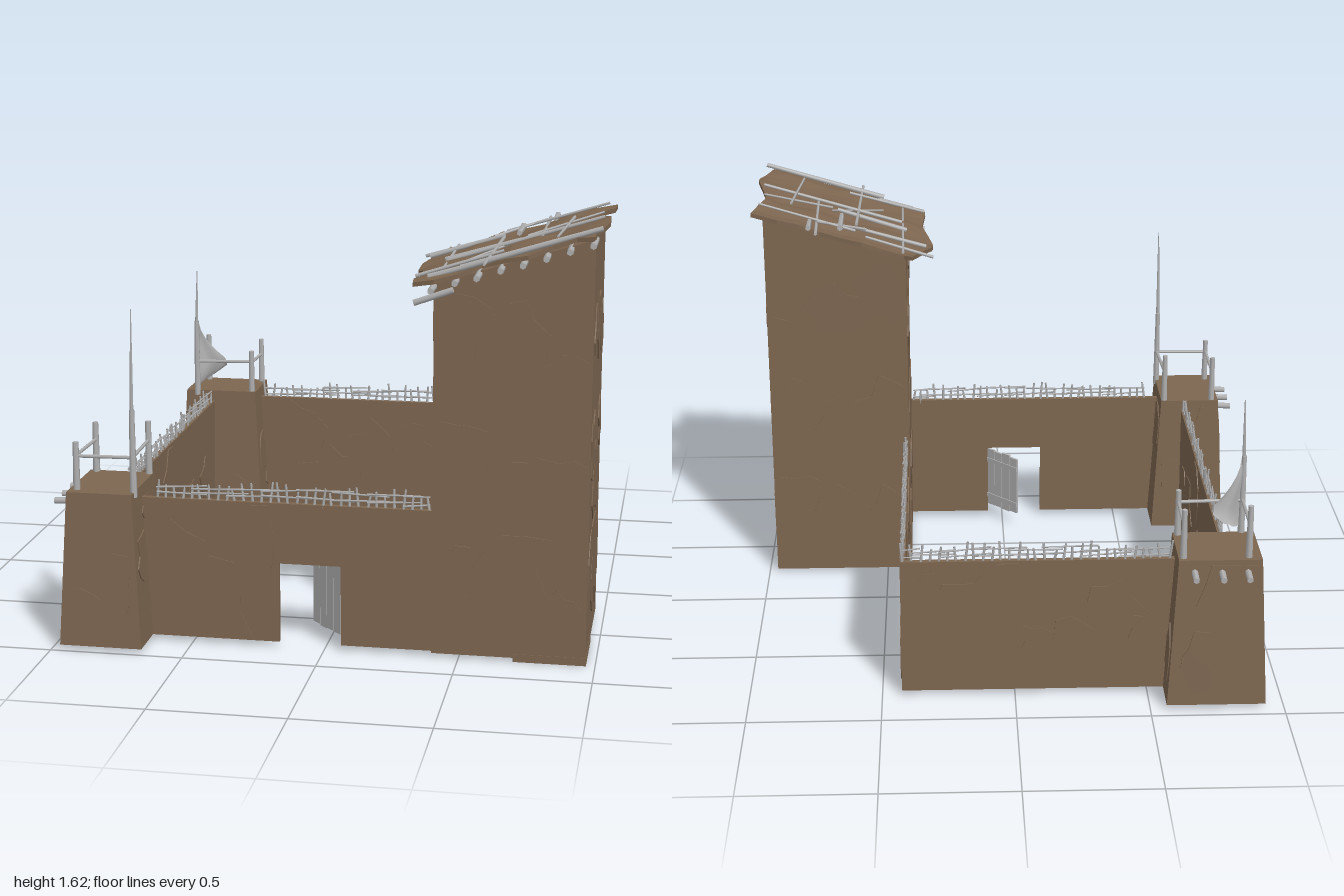
import * as THREE from 'three';
import { mergeGeometries } from 'three/addons/utils/BufferGeometryUtils.js';

export function createModel() {
  const fort = new THREE.Group();
  const clay = new THREE.MeshStandardMaterial({ name: 'clay brown', color: 0x7d6650 });
  const wood = new THREE.MeshStandardMaterial({ name: 'weathered grey', color: 0xb2b2b2 });
  const cloth = new THREE.MeshStandardMaterial({ name: 'cloth grey', color: 0xb0b0b0, side: THREE.DoubleSide });

  let seed = 7;
  const rnd = (a = 0, b = 1) => {
    seed = (seed * 16807) % 2147483647;
    return a + (b - a) * (seed / 2147483647);
  };
  const add = (name, geo, mat) => {
    const m = new THREE.Mesh(geo, mat);
    m.name = name;
    fort.add(m);
    return m;
  };
  const V = (x, y, z) => new THREE.Vector3(x, y, z);

  // Tapered pole between two points
  const pole = (a, b, r0, r1 = r0, sides = 5) => {
    const d = b.clone().sub(a);
    const g = new THREE.CylinderGeometry(r1, r0, d.length(), sides);
    g.applyQuaternion(new THREE.Quaternion().setFromUnitVectors(V(0, 1, 0), d.normalize()));
    return g.translate((a.x + b.x) / 2, (a.y + b.y) / 2, (a.z + b.z) / 2);
  };
  const box = (x0, x1, y0, y1, z0, z1) => new THREE.BoxGeometry(x1 - x0, y1 - y0, z1 - z0)
    .translate((x0 + x1) / 2, (y0 + y1) / 2, (z0 + z1) / 2);

  // Raised, ragged plaster patches on a wall face (u runs along the wall, angle is the facing)
  const plaster = (name, cx, cz, angle, w, y0, y1, count, tilt = 0) => {
    const geos = [];
    for (let i = 0; i < count; i++) {
      const R = rnd(0.07, 0.15), u = (i + 0.5) / count * w - w / 2, v = rnd(y0 + 0.1, y1 - 0.1) - y0;
      const pts = [];
      for (let k = 0; k < 11; k++) {
        const t = k / 11 * Math.PI * 2, r = R * rnd(0.55, 1.25);
        pts.push(new THREE.Vector2(
          THREE.MathUtils.clamp(u + Math.cos(t) * r, -w / 2 + 0.005, w / 2 - 0.005),
          THREE.MathUtils.clamp(v + Math.sin(t) * r * 1.2, 0.01, y1 - y0 - 0.01)));
      }
      geos.push(new THREE.ExtrudeGeometry(new THREE.Shape(pts), { depth: rnd(0.004, 0.006), bevelEnabled: false })
        .translate(0, 0, -0.001));
    }
    add(name, mergeGeometries(geos).rotateX(-tilt).rotateY(angle).translate(cx, y0, cz), clay);
  };

  // Curtain walls
  const T = 0.011, top = 0.555, base = 0.02, H = Math.PI / 2;
  add('backWall', box(-0.7, 0.425, base, top, -0.805 - T, -0.805 + T), clay);
  add('rightWall', box(0.415 - T, 0.415 + T, base, top, -0.81, 0.3), clay);
  add('leftWall', box(-0.785 - T, -0.785 + T, base, top, -0.75, 0.75), clay);
  const front = new THREE.Shape([[-0.75, base], [-0.17, base], [-0.17, 0.325], [0.062, 0.325], [0.062, base],
    [0.45, base], [0.45, top], [-0.75, top]].map(p => new THREE.Vector2(...p)));
  add('frontWall', new THREE.ExtrudeGeometry(front, { depth: 2 * T, bevelEnabled: false }).translate(0, 0, 0.815 - T), clay);
  plaster('backPlaster', -0.08, -0.805 - T, Math.PI, 0.95, base, top, 7);
  plaster('backInnerPlaster', -0.08, -0.805 + T, 0, 0.9, base, top, 5);
  plaster('rightPlaster', 0.415 + T, -0.28, H, 1.04, base, top, 7);
  plaster('rightInnerPlaster', 0.415 - T, -0.28, -H, 1, base, top, 5);
  plaster('leftPlaster', -0.785 - T, 0, -H, 1.2, base, top, 8);
  plaster('leftInnerPlaster', -0.785 + T, 0, H, 1.2, base, top, 6);
  plaster('frontPlaster', -0.41, 0.815 + T, 0, 0.45, base, top, 3);

  // Open plank door, swung inward from its hinge
  const door = new THREE.Group();
  door.name = 'door';
  for (let i = 0; i < 4; i++) {
    const m = new THREE.Mesh(box(-0.045 * (i + 1) + 0.002, -0.045 * i, 0.05 + rnd(0, 0.012), 0.325 - rnd(0, 0.012), -0.005, 0.005), wood);
    m.name = 'doorPlank';
    door.add(m);
  }
  [0.1, 0.27].forEach(y => {
    const m = new THREE.Mesh(box(-0.178, -0.002, y - 0.01, y + 0.01, -0.009, -0.004), wood);
    m.name = 'doorBrace';
    door.add(m);
  });
  door.position.set(0.062, 0, 0.81);
  door.rotation.y = -Math.PI / 4;
  fort.add(door);

  // Brushwood fence along the wall tops
  const fence = (name, a, b) => {
    const d = b.clone().sub(a), len = d.length(), n = Math.round(len / 0.033), geos = [];
    const at = (t, y, s = 0) => V(a.x + d.x * t + s * d.z / len, y, a.z + d.z * t + s * d.x / len);
    for (let i = 0; i <= n; i++) {
      const t = i / n, lean = rnd(-0.012, 0.012) / len;
      geos.push(pole(at(t, 0.54, rnd(-0.006, 0.006)), at(t + lean, rnd(0.595, 0.632), rnd(-0.008, 0.008)), 0.0055, 0.004, 4));
    }
    for (let i = 0; i < n / 4; i++) {
      const t = Math.min(i * 4 / n, 1), e = Math.min(t + rnd(5, 7) / n, 1);
      for (const y of [0.575, 0.6]) if (e > t)
        geos.push(pole(at(t, y + rnd(-0.009, 0.009), 0.007), at(e, y + rnd(-0.009, 0.009), -0.007), 0.004, 0.003, 4));
    }
    add(name, mergeGeometries(geos), wood);
  };
  fence('frontFence', V(-0.63, 0, 0.815), V(0.39, 0, 0.815));
  fence('backFence', V(-0.57, 0, -0.805), V(0.415, 0, -0.805));
  fence('leftFence', V(-0.785, 0, -0.64), V(-0.785, 0, 0.63));
  fence('rightFence', V(0.415, 0, -0.8), V(0.415, 0, 0.24));

  // Small tapered corner towers
  const cornerTower = (name, cx, cz, hx, hz) => {
    const g = new THREE.BoxGeometry(2, 0.58, 2), p = g.attributes.position;
    for (let i = 0; i < p.count; i++) {
      const inset = p.getY(i) > 0 ? 0.032 : 0;
      p.setX(i, p.getX(i) * (hx - inset));
      p.setZ(i, p.getZ(i) * (hz - inset));
    }
    g.computeVertexNormals();
    add(name, g.translate(cx, 0.31, cz), clay);
    for (let k = 0; k < 4; k++) {
      const [h, w] = k % 2 ? [hx, hz] : [hz, hx];
      plaster(name + 'Plaster', cx + Math.sin(k * H) * h, cz + Math.cos(k * H) * h, k * H, 2 * w - 0.07, base, 0.59, 2, 0.055);
    }
  };
  cornerTower('frontCornerTower', -0.81, 0.805, 0.155, 0.187);
  cornerTower('backCornerTower', -0.745, -0.805, 0.185, 0.153);

  // Posts, rails and tall spikes on the corner towers; the fourth corner carries the spike
  const railing = (name, corners, tip) => {
    const geos = [], P = corners.map(c => V(c[0], 0.58, c[1]));
    P.forEach((p, i) => {
      const spike = i === 3, q = P[(i + 1) % 4];
      geos.push(pole(p, V(p.x, spike ? 0.91 : 0.78 + 0.012 * i, p.z), 0.014, spike ? 0.01 : 0.011, 6));
      if (i !== 1) geos.push(pole(V(p.x, 0.73, p.z), V(q.x, 0.73 + rnd(-0.006, 0.006), q.z), 0.007));
    });
    geos.push(pole(V(P[3].x, 0.88, P[3].z), V(P[3].x + 0.006, tip, P[3].z), 0.008, 0.002, 5));
    add(name, mergeGeometries(geos), wood);
  };
  railing('frontTowerRailing', [[-0.905, 0.915], [-0.905, 0.665], [-0.7, 0.665], [-0.69, 0.915]], 1.28);
  railing('backTowerRailing', [[-0.61, -0.7], [-0.61, -0.9], [-0.85, -0.9], [-0.85, -0.685]], 1.13);

  // Torn cloth hanging from the back spike
  const sheet = new THREE.PlaneGeometry(1, 1, 5, 7), sp = sheet.attributes.position;
  for (let i = 0; i < sp.count; i++) {
    const u = sp.getX(i) + 0.5, v = 0.5 - sp.getY(i);
    const w = 0.015 + 0.125 * Math.pow(Math.min(v * 1.25, 1), 1.8) - (v > 0.8 ? (v - 0.8) * 0.3 : 0);
    sp.setXYZ(i, -0.855 + u * w, 0.9 - v * 0.28 + u * v * 0.05, -0.685 - u * v * 0.085 + Math.sin(u * 9) * 0.012 * v);
  }
  sheet.computeVertexNormals();
  add('tornCloth', sheet, cloth);

  // Beam ends poking out of the corner towers
  const ends = [];
  [0.71, 0.81, 0.905].forEach(z => ends.push(pole(V(-0.9, 0.555, z), V(-0.995, 0.55, z), 0.013, 0.012, 6)));
  [-0.845, -0.75, -0.65].forEach(x => ends.push(pole(V(x, 0.555, -0.9), V(x, 0.55, -0.993), 0.013, 0.012, 6)));
  add('beamEnds', mergeGeometries(ends), wood);

  // Tall tower with sloping top
  const roofY = x => 1.275 + 0.305 * x;
  const tall = box(0.4, 0.965, 0.015, 1.4, 0.25, 0.835), tp = tall.attributes.position;
  for (let i = 0; i < tp.count; i++) if (tp.getY(i) > 1) tp.setY(i, roofY(tp.getX(i)) - 0.005);
  tall.computeVertexNormals();
  add('tallTower', tall, clay);
  add('tallTowerFoot', box(0.7, 0.967, 0, 0.03, 0.57, 0.837), clay);
  for (let k = 0; k < 4; k++) for (let s = 0; s < 3; s++)
    plaster('tallTowerPlaster', 0.6825 + Math.sin(k * H) * 0.2825, 0.5425 + Math.cos(k * H) * 0.2925, k * H, 0.55,
      0.05 + s * 0.44, 0.49 + s * 0.44, 3);

  // Warped ragged roof
  const roof = new THREE.BoxGeometry(0.66, 0.016, 0.7, 8, 1, 10), rp = roof.attributes.position;
  for (let i = 0; i < rp.count; i++) {
    const x = rp.getX(i), z = rp.getZ(i), ex = Math.abs(x) > 0.32 ? 1 : 0, ez = Math.abs(z) > 0.34 ? 1 : 0;
    const X = 0.655 + x + ex * (0.022 * Math.sin(z * 14) - (x < 0 ? 0.03 * Math.cos(z * 6) - 0.012 : 0));
    const Z = 0.535 + z + ez * 0.014 * Math.sin(x * 21);
    rp.setXYZ(i, X, roofY(X) + 0.012 + rp.getY(i) + 0.007 * Math.sin(x * 23 + z * 8) + 0.006 * Math.sin(z * 27), Z);
  }
  const flat = roof.toNonIndexed();
  flat.computeVertexNormals();
  add('roof', flat, clay);

  // Poles lying over the roof: x0, z0, x1, z1, radius
  const over = [[0.29, 0.25, 0.56, 0.265, 0.007], [0.32, 0.345, 0.6, 0.33, 0.009], [0.56, 0.33, 0.75, 0.25, 0.006],
    [0.4, 0.51, 0.68, 0.53, 0.011], [0.42, 0.585, 0.98, 0.57, 0.008], [0.33, 0.81, 0.64, 0.78, 0.007],
    [0.38, 0.84, 0.52, 0.84, 0.012], [0.5, 0.875, 0.99, 0.865, 0.012], [0.6, 0.27, 0.98, 0.27, 0.006],
    [0.41, 0.2, 0.42, 0.83, 0.006], [0.6, 0.38, 0.59, 0.96, 0.007], [0.66, 0.25, 0.66, 0.43, 0.013],
    [0.75, 0.12, 0.76, 0.6, 0.007], [0.78, 0.15, 0.78, 0.25, 0.012], [0.86, 0.4, 0.83, 0.8, 0.006],
    [0.5, 0.7, 0.7, 0.5, 0.005], [0.7, 0.52, 0.97, 0.44, 0.005]];
  add('roofPoles', mergeGeometries(over.map(([x0, z0, x1, z1, r], i) => {
    const lift = 0.026 + (i % 3) * 0.006;
    return pole(V(x0, roofY(x0) + lift, z0), V(x1, roofY(x1) + lift, z1), r, r * 0.8);
  })), wood);

  // Rafter ends under the front eave
  const rafters = [];
  for (let i = 0; i < 8; i++) {
    const x = 0.4 + i * 0.08;
    rafters.push(pole(V(x, roofY(x) - 0.014, 0.76), V(x, roofY(x) - 0.016, rnd(0.895, 0.925)), 0.013, 0.012, 6));
  }
  rafters.push(pole(V(0.33, 1.325, 0.85), V(0.47, 1.375, 0.85), 0.012));
  add('rafterEnds', mergeGeometries(rafters), wood);

  return fort;
}
